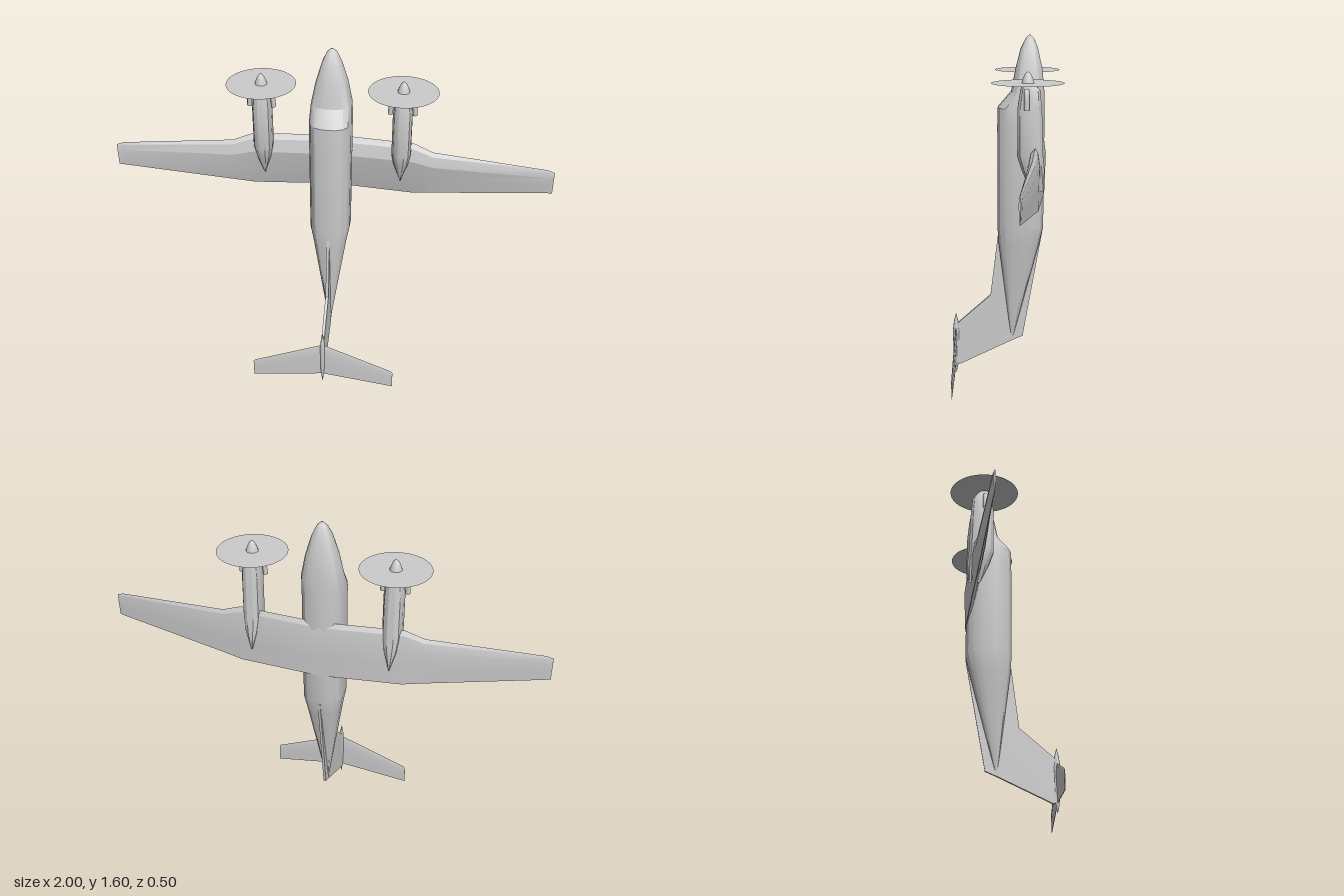
import * as THREE from 'three';
import { toCreasedNormals } from 'three/addons/utils/BufferGeometryUtils.js';

const material = new THREE.MeshStandardMaterial({ color: 0xcccccc });
const thinMaterial = new THREE.MeshStandardMaterial({ color: 0xcccccc, side: THREE.DoubleSide });

// Skin a row of equal-length closed rings of [x, y, z], with fan caps on both ends.
function loft(rings, crease = 0.5) {
  const n = rings[0].length;
  const pos = rings.flat(2);
  const index = [];
  for (let r = 0; r < rings.length - 1; r++) {
    for (let i = 0; i < n; i++) {
      const a = r * n + i, b = r * n + (i + 1) % n;
      index.push(a, b, a + n, b, b + n, a + n);
    }
  }
  const last = (rings.length - 1) * n;
  for (let i = 1; i < n - 1; i++) {
    index.push(0, i + 1, i, last, last + i, last + i + 1);
  }
  // Turn the faces outward when the enclosed volume is negative.
  const p = (i) => new THREE.Vector3().fromArray(pos, i * 3);
  let volume = 0;
  for (let i = 0; i < index.length; i += 3) {
    volume += p(index[i]).dot(p(index[i + 1]).cross(p(index[i + 2])));
  }
  if (volume < 0) index.reverse();
  const geo = new THREE.BufferGeometry();
  geo.setAttribute('position', new THREE.Float32BufferAttribute(pos, 3));
  geo.setIndex(index);
  return toCreasedNormals(geo, crease);
}

// Rounded-square ring across the body: half width w, from zLow to zHigh.
function bodyRing(x, y, w, zLow, zHigh, sides, power) {
  const ring = [];
  const bend = (v) => Math.sign(v) * Math.abs(v) ** (2 / power);
  for (let i = 0; i < sides; i++) {
    const t = ((i + 0.5) / sides) * Math.PI * 2;
    const c = Math.cos(Math.PI / sides) ** (2 / power);
    ring.push([
      x + (w * bend(Math.cos(t))) / c,
      y,
      (zLow + zHigh) / 2 + ((zHigh - zLow) / 2 / c) * bend(Math.sin(t)),
    ]);
  }
  return ring;
}

// Aerofoil ring at span x, between leading and trailing edge.
function foilRing(x, yLead, yTrail, zLead, zTop, zLow, zTrail) {
  const y = (t) => yLead + (yTrail - yLead) * t;
  const mix = (a, b) => a * 0.6 + b * 0.4;
  return [
    [x, yLead, zLead],
    [x, y(0.08), mix(zTop, zLead)],
    [x, y(0.3), zTop],
    [x, y(0.65), mix(zTop, zTrail)],
    [x, yTrail, zTrail + 0.001],
    [x, yTrail, zTrail - 0.001],
    [x, y(0.65), mix(zLow, zTrail)],
    [x, y(0.3), zLow],
    [x, y(0.08), mix(zLow, zLead)],
  ];
}

// Stations for the right half of a wing become a full, mirrored row.
function mirrored(stations) {
  const other = stations.slice(1).reverse().map(([x, ...rest]) => [-x, ...rest]);
  return [...other, ...stations];
}

// Thin plate in the y-z plane from [z, y] corners.
function plate(corners, thickness) {
  const shape = new THREE.Shape(corners.map(([z, y]) => new THREE.Vector2(z, y)));
  const geo = new THREE.ExtrudeGeometry(shape, { depth: thickness, bevelEnabled: false });
  geo.translate(0, 0, -thickness / 2);
  geo.rotateY(-Math.PI / 2);
  return geo;
}

function add(parent, name, geometry, mat = material) {
  const mesh = new THREE.Mesh(geometry, mat);
  mesh.name = name;
  parent.add(mesh);
  return mesh;
}

// Engine pod with spinner, propeller disc and two exhaust stubs.
function engine(side) {
  const group = new THREE.Group();
  group.name = side > 0 ? 'leftEngine' : 'rightEngine';
  const x = side * 0.315;
  const pod = [
    [1.42, 0.024, -0.125, -0.077],
    [1.39, 0.035, -0.152, -0.068],
    [1.31, 0.043, -0.16, -0.056],
    [1.11, 0.043, -0.166, -0.056],
    [1.05, 0.033, -0.172, -0.075],
    [0.955, 0.002, -0.168, -0.115],
  ];
  add(group, 'nacelle', loft(pod.map(([y, w, a, b]) => bodyRing(x, y, w, a, b, 12, 2.4))));

  const spinner = add(group, 'spinner', new THREE.LatheGeometry(
    [[0.027, 0], [0.023, 0.015], [0.013, 0.038], [0, 0.05]].map(([r, y]) => new THREE.Vector2(r, y)), 14));
  spinner.position.set(x, 1.42, -0.1);

  const disc = add(group, 'propellerDisc', new THREE.CircleGeometry(0.155, 48), thinMaterial);
  disc.rotation.x = -Math.PI / 2;
  disc.position.set(x, 1.42, -0.1);

  for (const s of [-1, 1]) {
    const path = new THREE.CatmullRomCurve3([
      new THREE.Vector3(x + s * 0.03, 1.392, -0.095),
      new THREE.Vector3(x + s * 0.047, 1.375, -0.095),
      new THREE.Vector3(x + s * 0.055, 1.312, -0.095),
    ]);
    add(group, 'exhaustStub', new THREE.TubeGeometry(path, 6, 0.011, 8), thinMaterial);
  }
  return group;
}

export function createModel() {
  const model = new THREE.Group();
  model.name = 'aircraft';

  // Fuselage: y, half width, belly z, roof z
  const body = [
    [1.602, 0.004, -0.113, -0.105],
    [1.585, 0.022, -0.13, -0.09],
    [1.54, 0.043, -0.147, -0.068],
    [1.45, 0.07, -0.167, -0.045],
    [1.35, 0.09, -0.176, -0.026],
    [1.28, 0.094, -0.177, 0.034],
    [1.2, 0.094, -0.177, 0.036],
    [0.73, 0.092, -0.175, 0.036],
    [0.65, 0.077, -0.157, 0.031],
    [0.17, 0.004, -0.034, -0.028],
  ];
  add(model, 'fuselage', loft(body.map(([y, w, a, b]) => bodyRing(0, y, w, a, b, 16, 2.7)), 0.45));

  // Main wing with upswept outer panels
  const wing = mirrored([
    [0, 1.15, 0.88, -0.165, -0.125, -0.185, -0.178],
    [0.37, 1.15, 0.88, -0.13, -0.1, -0.15, -0.145],
    [0.46, 1.115, 0.894, -0.12, -0.095, -0.138, -0.133],
    [0.97, 1.09, 0.97, -0.073, -0.066, -0.079, -0.074],
    [1, 1.08, 0.975, -0.069, -0.064, -0.073, -0.069],
  ]);
  add(model, 'wing', loft(wing.map((s) => foilRing(...s)), 0.25));

  for (const side of [-1, 1]) model.add(engine(side));

  // Tail fin with dorsal fillet, and the keel fin below the tail cone
  add(model, 'tailFin', plate(
    [[0.03, 0.72], [0.07, 0.39], [0.215, 0.26], [0.235, 0.24], [0.235, 0.05], [0.215, 0.045], [-0.03, 0.165], [-0.06, 0.4]], 0.014));
  add(model, 'ventralFin', plate(
    [[-0.165, 0.74], [-0.03, 0.5], [-0.03, 0.165], [-0.082, 0.188], [-0.175, 0.72]], 0.012));

  // Tailplane on top of the fin
  const tail = mirrored([
    [0, 0.23, 0.05, 0.235, 0.241, 0.229, 0.235],
    [0.33, 0.1, 0.007, 0.235, 0.238, 0.232, 0.235],
    [0.338, 0.09, 0.006, 0.235, 0.237, 0.233, 0.235],
  ]);
  add(model, 'tailplane', loft(tail.map((s) => foilRing(...s)), 0.25));

  // Bullet fairing where fin and tailplane meet
  const bullet = [[0, 0], [0.008, 0.04], [0.014, 0.1], [0.016, 0.21], [0.01, 0.26], [0, 0.3]];
  const fairing = add(model, 'bulletFairing', new THREE.LatheGeometry(
    bullet.map(([r, y]) => new THREE.Vector2(r, y)), 10));
  fairing.scale.x = 0.75;
  fairing.position.z = 0.234;

  return model;
}
